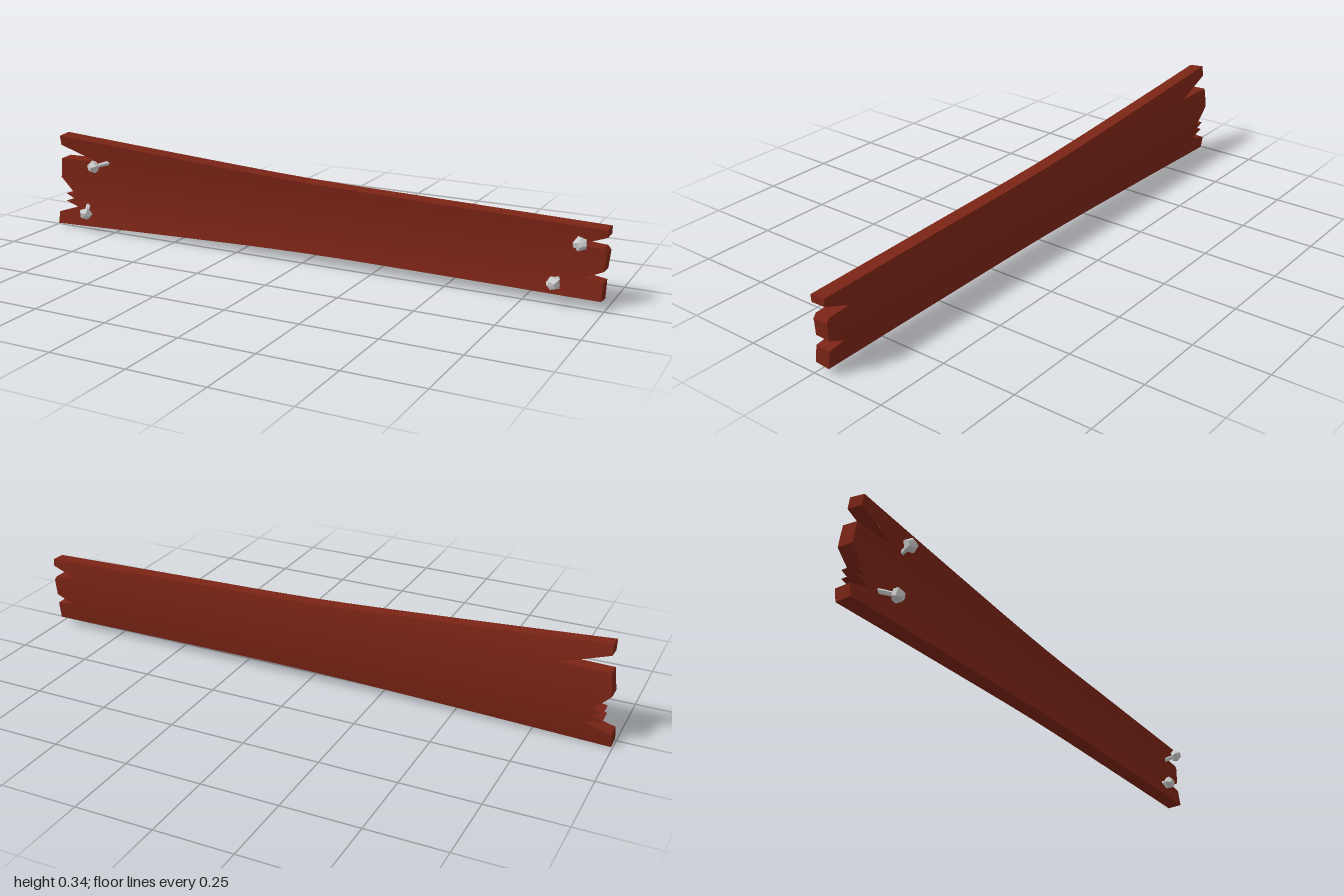
import * as THREE from 'three';

const WOOD = new THREE.MeshStandardMaterial({ color: 0x7a2415 });
const METAL = new THREE.MeshStandardMaterial({ color: 0xcccccc, flatShading: true });
const THICK = 0.05;

// The board is cupped: its face follows a shallow curve over its height.
const cup = (y) => -0.01 + 0.017 * ((y - 0.168) / 0.165) ** 2;
const slope = (y) => (0.034 * (y - 0.168)) / 0.165 ** 2;
const frontPoint = (p) => new THREE.Vector3(p.x, p.y, cup(p.y));
const backPoint = (p) => new THREE.Vector3(p.x, p.y + THICK * 0.5 * slope(p.y), cup(p.y) - THICK);

// Outline, counter-clockwise: long edges as curves, broken ends as jagged points
function boardOutline() {
  const v = (x, y) => new THREE.Vector2(x, y);
  const bottom = new THREE.SplineCurve([
    v(-0.995, 0.005), v(-0.5, 0.022), v(0, 0.035), v(0.5, 0.034), v(0.99, 0.03),
  ]).getPoints(16);
  const rightEnd = [
    v(0.99, 0.087), v(0.935, 0.095), v(0.99, 0.12), v(0.995, 0.175),
    v(0.985, 0.188), v(0.91, 0.193), v(0.995, 0.225),
  ];
  const top = new THREE.SplineCurve([
    v(0.995, 0.248), v(0.5, 0.26), v(0, 0.273), v(-0.5, 0.301), v(-0.97, 0.331),
  ]).getPoints(16);
  const leftEnd = [
    v(-0.97, 0.297), v(-0.82, 0.249), v(-0.975, 0.246), v(-0.985, 0.175),
    v(-0.93, 0.122), v(-0.965, 0.117), v(-0.93, 0.102), v(-0.965, 0.09),
    v(-0.91, 0.073), v(-0.993, 0.047),
  ];
  return [...bottom, ...rightEnd, ...top, ...leftEnd];
}

// Keep the part of a convex polygon on one side of a horizontal line
function clip(poly, y, sign) {
  const out = [];
  poly.forEach((a, i) => {
    const b = poly[(i + 1) % poly.length];
    const da = sign * (a.y - y), db = sign * (b.y - y);
    if (da >= 0) out.push(a);
    if (da * db < 0) out.push(a.clone().lerp(b, da / (da - db)));
  });
  return out;
}

function boardGeometry() {
  const outline = boardOutline();
  const pos = [], nor = [];
  const add = (p, n) => { pos.push(p.x, p.y, p.z); nor.push(n.x, n.y, n.z); };
  const faceNormal = (p, s) => new THREE.Vector3(0, -slope(p.y), 1).normalize().multiplyScalar(s);

  // Front and back faces, cut into bands so they can bend
  const bands = 14, step = 0.336 / bands;
  for (const tri of THREE.ShapeUtils.triangulateShape(outline, [])) {
    let corners = tri.map((i) => outline[i]);
    if (THREE.ShapeUtils.area(corners) < 0) corners.reverse();
    for (let b = 0; b < bands; b++) {
      const part = clip(clip(corners, b * step, 1), (b + 1) * step, -1);
      for (let k = 1; k + 1 < part.length; k++) {
        for (const p of [part[0], part[k], part[k + 1]]) add(frontPoint(p), faceNormal(p, 1));
        for (const p of [part[0], part[k + 1], part[k]]) add(backPoint(p), faceNormal(p, -1));
      }
    }
  }

  // Edge walls
  outline.forEach((a, i) => {
    const b = outline[(i + 1) % outline.length];
    const n = new THREE.Vector3(b.y - a.y, a.x - b.x, 0).normalize();
    const cuts = Math.max(1, Math.ceil(Math.abs(b.y - a.y) / step));
    for (let k = 0; k < cuts; k++) {
      const p = a.clone().lerp(b, k / cuts), q = a.clone().lerp(b, (k + 1) / cuts);
      const pf = frontPoint(p), qf = frontPoint(q), pb = backPoint(p), qb = backPoint(q);
      for (const c of [pf, pb, qb, pf, qb, qf]) add(c, n);
    }
  });

  const g = new THREE.BufferGeometry();
  g.setAttribute('position', new THREE.Float32BufferAttribute(pos, 3));
  g.setAttribute('normal', new THREE.Float32BufferAttribute(nor, 3));
  return g;
}

// Bent nail: faceted domed head on a thin shaft, pointing from base to tip
function makeNail(base, tip, spin) {
  const nail = new THREE.Group();
  const from = new THREE.Vector3(...base), to = new THREE.Vector3(...tip);
  const length = from.distanceTo(to);
  const shaft = new THREE.Mesh(new THREE.CylinderGeometry(0.007, 0.009, length + 0.02, 5), METAL);
  shaft.name = 'nailShaft';
  shaft.position.y = (length - 0.02) / 2;
  const profile = [[0, -0.016], [0.017, -0.014], [0.024, 0], [0.014, 0.016], [0, 0.018]];
  const head = new THREE.Mesh(
    new THREE.LatheGeometry(profile.map(([r, y]) => new THREE.Vector2(r, y)), 5), METAL);
  head.name = 'nailHead';
  head.position.y = length;
  head.rotation.y = spin;
  nail.add(shaft, head);
  nail.position.copy(from);
  nail.quaternion.setFromUnitVectors(new THREE.Vector3(0, 1, 0), to.sub(from).normalize());
  return nail;
}

export function createModel() {
  const model = new THREE.Group();
  model.name = 'plank';
  const board = new THREE.Mesh(boardGeometry(), WOOD);
  board.name = 'board';
  model.add(board);

  const nails = {
    upperRightNail: [[-0.775, 0.25, -0.008], [-0.803, 0.244, 0.042]],
    lowerRightNail: [[-0.868, 0.082, -0.006], [-0.845, 0.067, 0.042]],
    upperLeftNail: [[0.9, 0.187, -0.012], [0.923, 0.205, 0.022]],
    lowerLeftNail: [[0.855, 0.08, -0.008], [0.85, 0.072, 0.024]],
  };
  Object.entries(nails).forEach(([name, [base, tip]], i) => {
    const nail = makeNail(base, tip, i * 0.7);
    nail.name = name;
    model.add(nail);
  });
  return model;
}
